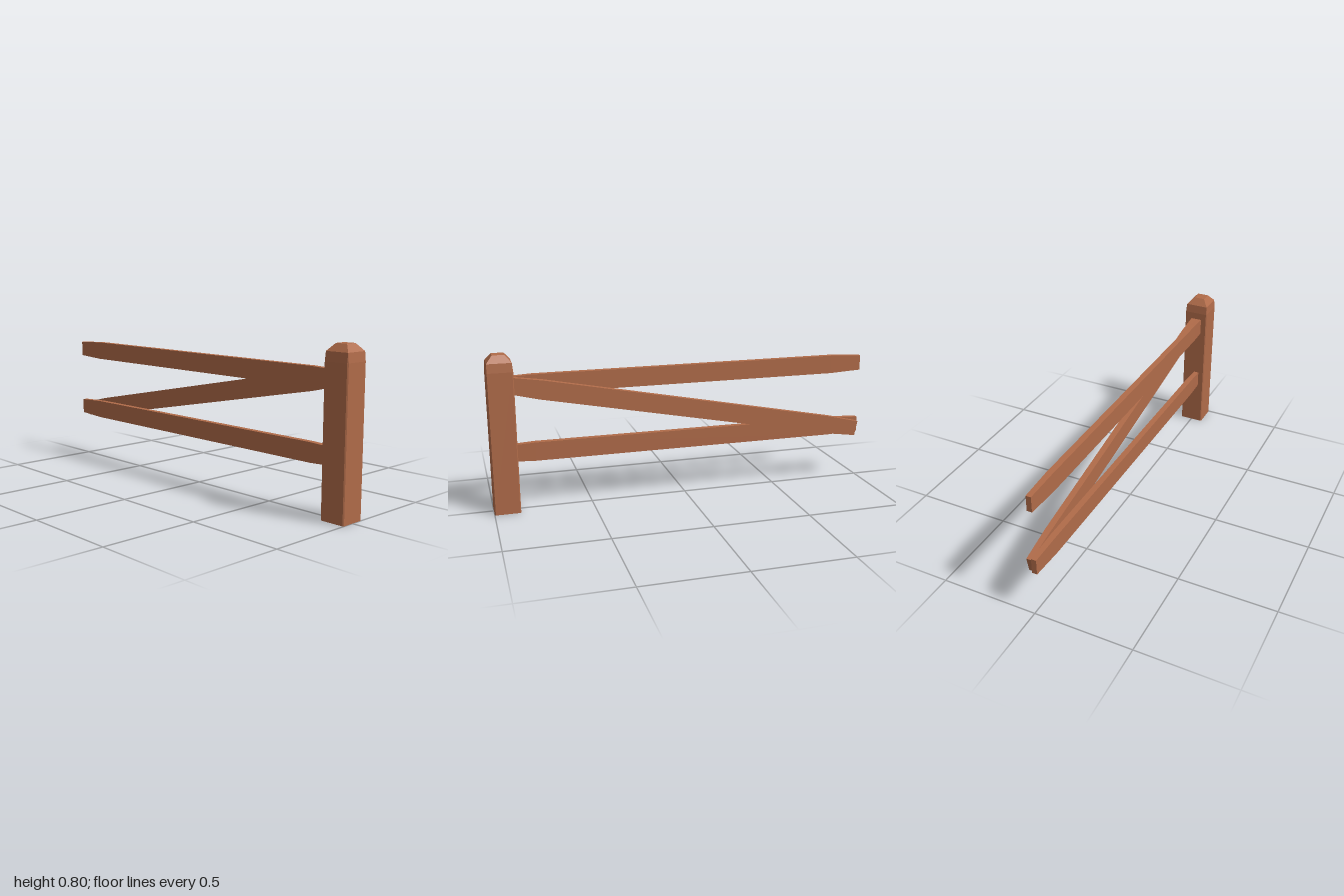
import * as THREE from 'three';

// Cross-section: a rectangle of half sizes a, b with corners cut by c
function section(a, b, c) {
  return [[a, b - c], [a - c, b], [c - a, b], [-a, b - c], [-a, c - b], [c - a, -b], [a - c, -b], [a, c - b]];
}

// Skin a stack of sections [height, halfA, halfB, cut] along +y
function loft(levels, capStart, capEnd) {
  const pos = [], idx = [], n = 8;
  for (const [y, a, b, c] of levels) {
    for (const [x, z] of section(a, b, c)) pos.push(x, y, z);
  }
  for (let k = 0; k < levels.length - 1; k++) {
    for (let i = 0; i < n; i++) {
      const p = k * n + i, q = k * n + (i + 1) % n;
      idx.push(p, p + n, q, q, p + n, q + n);
    }
  }
  const top = (levels.length - 1) * n;
  for (let i = 1; i < n - 1; i++) {
    if (capStart) idx.push(0, i, i + 1);
    if (capEnd) idx.push(top, top + i + 1, top + i);
  }
  const geo = new THREE.BufferGeometry();
  geo.setAttribute('position', new THREE.Float32BufferAttribute(pos, 3));
  geo.setIndex(idx);
  const flat = geo.toNonIndexed();
  flat.computeVertexNormals();
  return flat;
}

export function createModel() {
  const group = new THREE.Group();
  const wood = new THREE.MeshStandardMaterial({ color: 0xb06b49, side: THREE.DoubleSide });
  wood.name = 'wood';

  // Post: bevelled corners, stepped pyramid top, open underneath
  const post = new THREE.Mesh(loft([
    [0, 0.065, 0.065, 0.005],
    [0.72, 0.065, 0.065, 0.005],
    [0.765, 0.06, 0.06, 0],
    [0.8, 0.03, 0.03, 0],
  ], false, true), wood);
  post.name = 'post';
  post.position.x = 0.935;
  group.add(post);

  // Planks run from (x0, y0) to (x1, y1) and taper at both ends
  function plank(name, x0, y0, x1, y1, z) {
    const dx = x1 - x0, dy = y1 - y0, len = Math.hypot(dx, dy), taper = 0.175;
    const geo = loft([
      [0, 0.04, 0.013, 0],
      [taper, 0.048, 0.0155, 0],
      [len - taper, 0.048, 0.0155, 0],
      [len, 0.04, 0.013, 0],
    ], true, true);
    const mesh = new THREE.Mesh(geo, wood);
    mesh.name = name;
    mesh.position.set(x0, y0, z);
    mesh.rotation.z = Math.atan2(dy, dx) - Math.PI / 2;
    group.add(mesh);
  }
  plank('upperRail', -1, 0.64, 0.95, 0.64, 0.0175);
  plank('lowerRail', -1, 0.292, 0.95, 0.292, 0.0175);
  plank('diagonalBrace', -0.982, 0.275, 0.91, 0.649, -0.014);

  return group;
}
